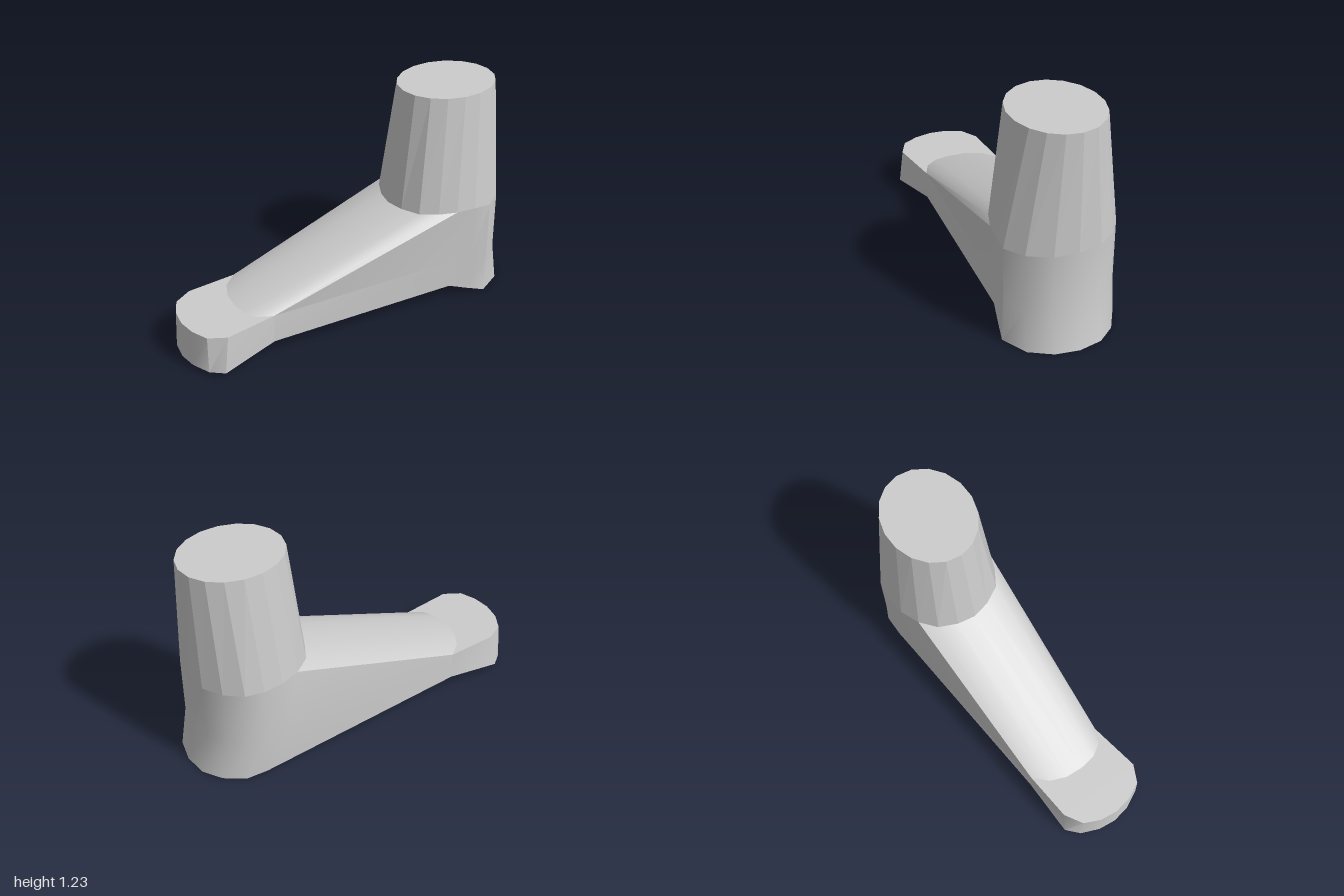
import * as THREE from 'three';
import { toCreasedNormals } from 'three/addons/utils/BufferGeometryUtils.js';

// Skin a stack of matching rings (listed from bottom to top) and close both ends.
function loft(rings, capBottom, capTop) {
  const n = rings[0].length;
  const pos = [];
  const tri = (a, b, c) => {
    if (a !== b && b !== c && a !== c) pos.push(...a, ...b, ...c);
  };
  const quad = (a, b, c, d) => { tri(a, b, c); tri(a, c, d); };
  for (let r = 0; r < rings.length - 1; r++) {
    const lo = rings[r], hi = rings[r + 1];
    for (let i = 0; i < n; i++) {
      const j = (i + 1) % n;
      quad(lo[i], lo[j], hi[j], hi[i]);
    }
  }
  const cap = (ring, up) => {
    for (let i = 0; i < Math.floor(n / 2); i++) {
      const q = [ring[i], ring[i + 1], ring[n - i - 1], ring[(n - i) % n]];
      if (!up) q.reverse();
      quad(...q);
    }
  };
  if (capBottom) cap(rings[0], false);
  if (capTop) cap(rings[rings.length - 1], true);
  const geo = new THREE.BufferGeometry();
  geo.setAttribute('position', new THREE.Float32BufferAttribute(pos, 3));
  geo.computeVertexNormals();
  return geo;
}

// Level ring from [x, z] points
const level = (y, pts) => pts.map(([x, z]) => [x, y, z]);

export function createModel() {
  const group = new THREE.Group();
  const add = (name, geo, flatShading = false) => {
    const mat = new THREE.MeshStandardMaterial({ color: 0xcccccc, flatShading });
    const mesh = new THREE.Mesh(geo, mat);
    mesh.name = name;
    group.add(mesh);
  };

  // Rings run from the instep, along the front, round the heel and back.
  const ankle = level(0.567, [
    [0.30, 0], [0.32, 0.1], [0.37, 0.2], [0.46, 0.26], [0.56, 0.295], [0.67, 0.31],
    [0.765, 0.32], [0.865, 0.25], [0.935, 0.13], [0.952, 0],
    [0.935, -0.13], [0.87, -0.23], [0.78, -0.3], [0.68, -0.32], [0.57, -0.31],
    [0.46, -0.27], [0.37, -0.2], [0.32, -0.1],
  ]);
  const instep = level(0.235, [
    [-0.68, 0], [-0.67, 0.09], [-0.63, 0.16], [-0.55, 0.2], [0.54, 0.27], [0.66, 0.3],
    [0.765, 0.32], [0.865, 0.25], [0.935, 0.13], [0.952, 0],
    [0.935, -0.13], [0.87, -0.23], [0.78, -0.3], [0.68, -0.32], [0.55, -0.31],
    [-0.55, -0.26], [-0.63, -0.19], [-0.67, -0.1],
  ]);
  const sole = [
    [-0.55, 0.07, 0], [-0.55, 0.07, 0.09], [-0.55, 0.07, 0.16], [-0.55, 0.07, 0.2],
    [0.55, 0.07, 0.27], [0.65, 0.035, 0.295], [0.76, 0, 0.322], [0.9, 0, 0.25],
    [0.975, 0, 0.13], [1, 0, 0], [0.98, 0, -0.13], [0.91, 0, -0.23],
    [0.8, 0, -0.3], [0.68, 0, -0.305], [0.57, 0.005, -0.3],
    [-0.55, 0.07, -0.26], [-0.55, 0.07, -0.19], [-0.55, 0.07, -0.1],
  ];
  add('foot', toCreasedNormals(loft([sole, instep, ankle], true, false), 0.75));

  // Faceted, tapering shin with a flat top
  const shinTop = level(1.228, ankle.map((_, i) => {
    const a = (i / ankle.length) * Math.PI * 2;
    return [0.663 - 0.282 * Math.cos(a), 0.243 * Math.sin(a)];
  }));
  add('shin', loft([ankle, shinTop], false, true), true);

  // Flat toe slab, slightly wider at its lower edge
  const toeTop = level(0.235, [
    [-0.99, 0], [-0.975, 0.1], [-0.935, 0.19], [-0.84, 0.24], [-0.55, 0.2],
    [-0.55, -0.26], [-0.83, -0.245], [-0.93, -0.19], [-0.975, -0.1],
  ]);
  const toeBottom = level(0.025, [
    [-1, 0], [-0.985, 0.1], [-0.94, 0.2], [-0.87, 0.255], [-0.55, 0.2],
    [-0.55, -0.26], [-0.87, -0.26], [-0.94, -0.2], [-0.985, -0.1],
  ]);
  toeBottom[4][1] = toeBottom[5][1] = 0.07;
  add('toe', toCreasedNormals(loft([toeBottom, toeTop], true, true), 0.6));

  return group;
}
